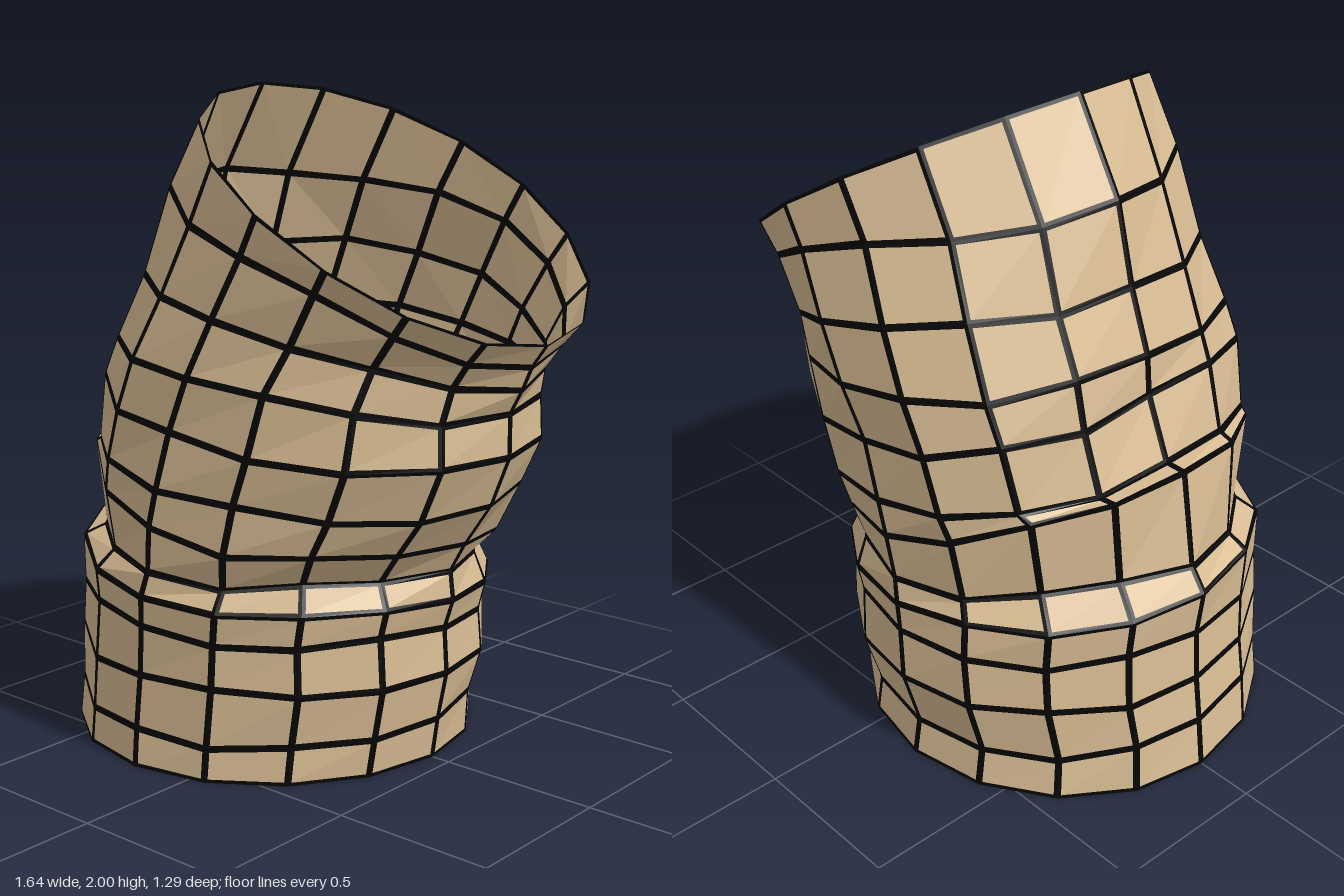
import * as THREE from 'three';

const SIDES = 16;
const EDGE = 0.011; // half width of the dark seams

// Rings from bottom to top: left-hand x,y | front x,y | right-hand x,y |
// reach to front, to back | pinch of the diagonals on the -x, +x half
const RINGS = [
  [-0.82, 0.00, -0.19, 0.00, 0.44, 0.00, 0.64, 0.61, 0, 0],
  [-0.80, 0.16, -0.19, 0.12, 0.46, 0.13, 0.63, 0.59, 0, 0],
  [-0.78, 0.31, -0.17, 0.29, 0.49, 0.28, 0.63, 0.63, 0, 0],
  [-0.77, 0.47, -0.15, 0.45, 0.48, 0.42, 0.64, 0.62, 0, 0],
  [-0.79, 0.62, -0.14, 0.54, 0.51, 0.51, 0.65, 0.62, 0, 0.01],
  [-0.74, 0.69, -0.12, 0.62, 0.50, 0.60, 0.64, 0.61, 0.07, 0.07],
  [-0.69, 0.99, -0.10, 0.76, 0.55, 0.69, 0.65, 0.62, 0, 0.02],
  [-0.62, 0.99, -0.07, 0.87, 0.64, 0.82, 0.65, 0.62, -0.03, 0.01],
  [-0.54, 1.18, -0.02, 1.05, 0.70, 0.97, 0.64, 0.62, -0.07, -0.01],
  [-0.53, 1.30, 0.05, 1.21, 0.70, 1.10, 0.64, 0.64, -0.05, 0.02],
  [-0.46, 1.49, 0.13, 1.38, 0.74, 1.17, 0.62, 0.64, -0.03, 0.08],
  [-0.40, 1.73, 0.23, 1.56, 0.77, 1.24, 0.61, 0.62, 0, 0.05],
  [-0.24, 2.00, 0.30, 1.68, 0.82, 1.31, 0.62, 0.62, 0, 0],
];

// Repeatable noise in -1..1
function seeded(seed) {
  return () => {
    seed = (seed * 16807) % 2147483647;
    return (seed / 2147483647) * 2 - 1;
  };
}

// Ring through its left, front, right and back points, with small crumples
function ringPoints(row, index, noise) {
  const [lx, ly, fx, fy, rx, ry, zf, zb, pinchL, pinchR] = row;
  const mx = (lx + rx) / 2, my = (ly + ry) / 2;
  const inner = index > 0 && index < RINGS.length - 1;
  const points = [];
  for (let i = 0; i < SIDES; i++) {
    const a = (i / SIDES) * Math.PI * 2;
    const c = Math.cos(a), s = Math.sin(a);
    const jitter = inner && i % 4 !== 0 ? 1 : 0;
    const pinch = (c < 0 ? pinchL : pinchR) * Math.abs(Math.sin(2 * a));
    const swell = 1 - pinch + noise() * jitter * 0.01;
    points.push(new THREE.Vector3(
      mx + c * swell * (rx - lx) / 2 + s * s * (fx - mx),
      my + c * (ry - ly) / 2 + s * s * (fy - my) + noise() * jitter * 0.02,
      s * swell * (s > 0 ? zf : zb)
    ));
  }
  return points;
}

function addQuad(list, a, b, c, d) {
  for (const p of [a, b, c, a, c, d]) list.push(p.x, p.y, p.z);
}

function surfaceMesh(name, positions, color) {
  const geometry = new THREE.BufferGeometry();
  geometry.setAttribute('position', new THREE.Float32BufferAttribute(positions, 3));
  geometry.computeVertexNormals();
  const mesh = new THREE.Mesh(geometry, new THREE.MeshStandardMaterial({
    color, flatShading: true, side: THREE.DoubleSide,
  }));
  mesh.name = name;
  return mesh;
}

export function createModel() {
  const group = new THREE.Group();
  group.name = 'bentSleeve';
  const noise = seeded(4711);
  const rings = RINGS.map((row, i) => ringPoints(row, i, noise));
  const panels = [], seams = [];

  for (let j = 0; j < rings.length - 1; j++) {
    for (let i = 0; i < SIDES; i++) {
      const k = (i + 1) % SIDES;
      // Corners run counter-clockwise seen from outside
      const quad = [rings[j][k], rings[j][i], rings[j + 1][i], rings[j + 1][k]];
      const across = (quad[0].distanceTo(quad[1]) + quad[2].distanceTo(quad[3])) / 2;
      const up = (quad[1].distanceTo(quad[2]) + quad[3].distanceTo(quad[0])) / 2;
      const u = Math.min(0.4, EDGE / across), v = Math.min(0.4, EDGE / up);
      const at = (s, t) => quad[0].clone().lerp(quad[1], s)
        .lerp(quad[3].clone().lerp(quad[2], s), t);
      const inset = [at(u, v), at(1 - u, v), at(1 - u, 1 - v), at(u, 1 - v)];
      // Tan panel with a dark frame around it
      addQuad(panels, ...inset);
      for (let e = 0; e < 4; e++) {
        const n = (e + 1) % 4;
        addQuad(seams, quad[e], quad[n], inset[n], inset[e]);
      }
    }
  }

  group.add(surfaceMesh('panels', panels, 0xd9bd94));
  group.add(surfaceMesh('seams', seams, 0x060606));
  return group;
}
